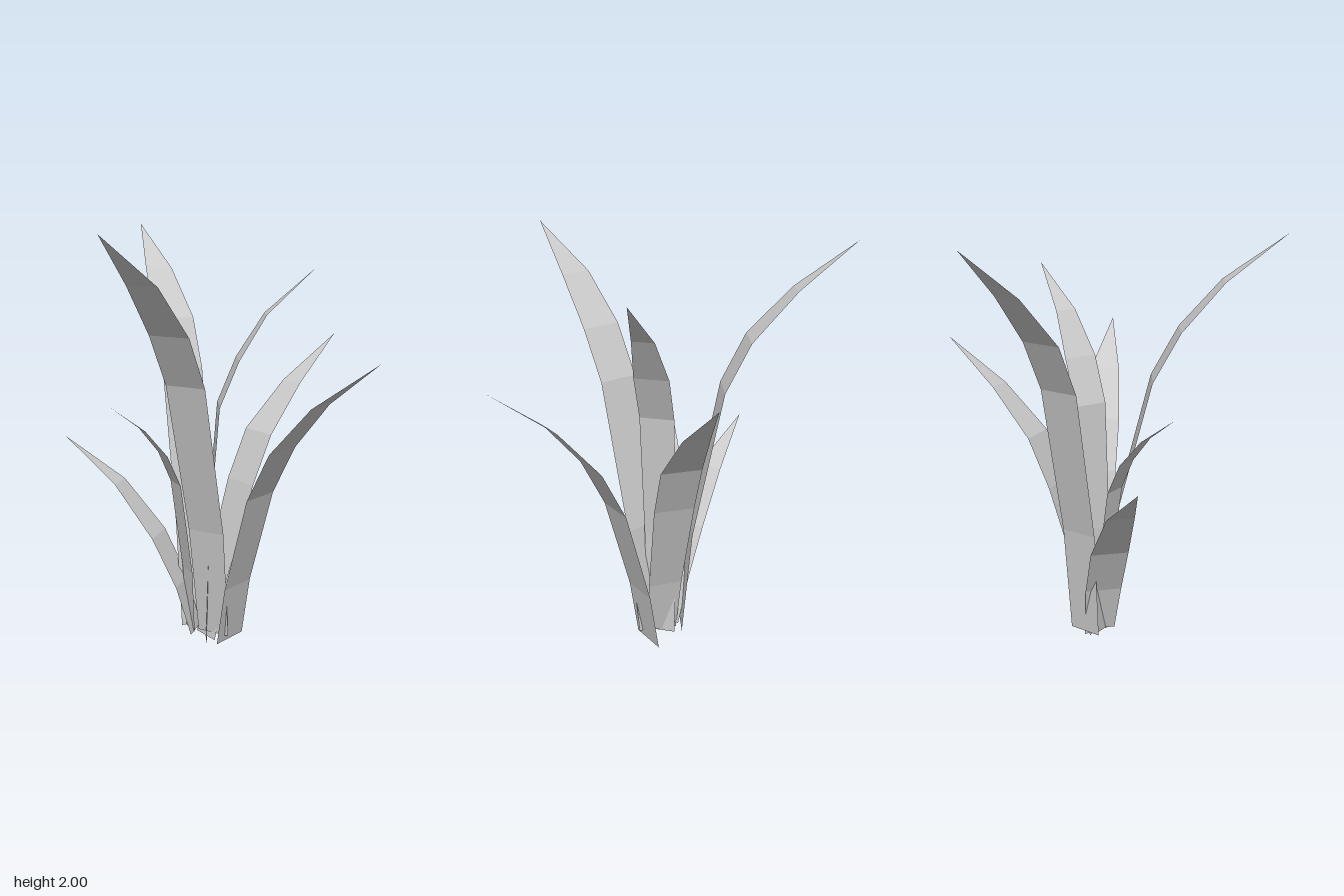
import * as THREE from 'three';

// Each blade: root position, tip position, and cross-sections between them
// as [distance out from the root, height, half width].
const blades = [
  { name: 'tallFrontBlade', root: [0.025, 0.04, 0.09], tip: [-0.47, 2.0, 0.81], half: 0.085,
    rows: [[0.07, 0.58, 0.096], [0.25, 1.31, 0.104], [0.38, 1.55, 0.104], [0.58, 1.78, 0.079]] },
  { name: 'tallBackBlade', root: [-0.045, 0.04, -0.04], tip: [-0.305, 2.0, -0.81], half: 0.085,
    rows: [[0.05, 0.58, 0.096], [0.197, 1.31, 0.104], [0.317, 1.55, 0.104], [0.53, 1.78, 0.07]] },
  { name: 'frontLeftBlade', root: [0.105, 0.01, 0.09], tip: [0.69, 1.46, 0.63], half: 0.1,
    rows: [[0.047, 0.3, 0.1], [0.177, 0.77, 0.104], [0.3, 1.01, 0.104], [0.5, 1.24, 0.074]] },
  { name: 'backLeftBlade', root: [-0.01, 0.01, 0.05], tip: [0.675, 1.46, -0.38], half: 0.075,
    rows: [[0.06, 0.3, 0.085], [0.21, 0.77, 0.1], [0.32, 1.01, 0.1], [0.53, 1.24, 0.065]] },
  { name: 'lowRightBlade', root: [-0.06, 0.04, 0.04], tip: [-0.69, 0.98, -0.2], half: 0.075,
    rows: [[0.07, 0.28, 0.09], [0.19, 0.52, 0.093], [0.39, 0.77, 0.066]] },
  { name: 'slimRightBlade', root: [-0.085, 0.04, 0.03], tip: [-0.46, 1.2, 0.175], half: 0.05,
    rows: [[0.015, 0.35, 0.06], [0.075, 0.8, 0.063], [0.14, 0.95, 0.06], [0.245, 1.08, 0.042]] },
  { name: 'leftBlade', root: [-0.01, 0, 0.055], tip: [0.5, 1.82, 0.055], half: 0.072,
    rows: [[0.01, 0.55, 0.08], [0.06, 1.18, 0.086], [0.15, 1.4, 0.086], [0.28, 1.61, 0.055]] },
];

// Flat ribbon with horizontal cross-sections, closing to a point at the tip
function bladeGeometry({ root, tip, half, rows }) {
  const [rx, ry, rz] = root;
  const length = Math.hypot(tip[0] - rx, tip[2] - rz);
  const dx = (tip[0] - rx) / length, dz = (tip[2] - rz) / length;
  const positions = [], index = [];
  for (const [out, y, w] of [[0, ry, half], ...rows]) {
    const x = rx + dx * out, z = rz + dz * out;
    positions.push(x + dz * w, y, z - dx * w, x - dz * w, y, z + dx * w);
  }
  positions.push(...tip);
  for (let i = 0; i < rows.length; i++) {
    const a = i * 2;
    index.push(a, a + 2, a + 1, a + 1, a + 2, a + 3);
  }
  const last = rows.length * 2;
  index.push(last, last + 2, last + 1);
  const geometry = new THREE.BufferGeometry();
  geometry.setAttribute('position', new THREE.Float32BufferAttribute(positions, 3));
  geometry.setIndex(index);
  geometry.computeVertexNormals();
  return geometry;
}

export function createModel() {
  const plant = new THREE.Group();
  plant.name = 'grassTuft';
  const material = new THREE.MeshStandardMaterial({
    color: 0xcccccc, flatShading: true, side: THREE.DoubleSide,
  });
  for (const blade of blades) {
    const mesh = new THREE.Mesh(bladeGeometry(blade), material);
    mesh.name = blade.name;
    plant.add(mesh);
  }
  return plant;
}
